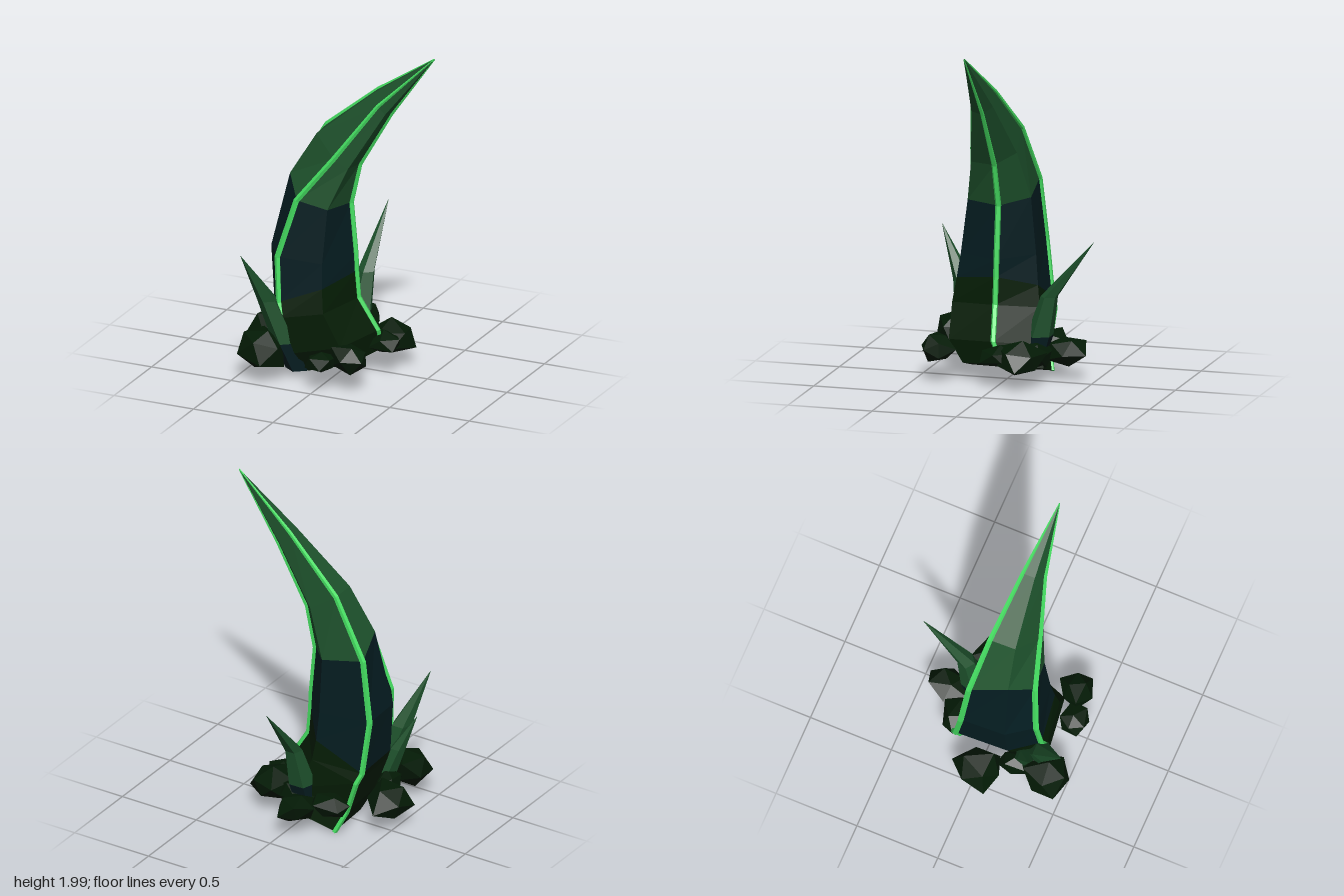
import * as THREE from 'three';

const mat = (name, color) => {
  const m = new THREE.MeshStandardMaterial({ color, flatShading: true });
  m.name = name;
  return m;
};

// Skin a stack of rings (arrays of Vector3), optionally closing the bottom
function loft(rings, cap) {
  const pos = [];
  const tri = (...v) => v.forEach((p) => pos.push(p.x, p.y, p.z));
  const n = rings[0].length;
  for (let i = 0; i < rings.length - 1; i++) {
    for (let j = 0; j < n; j++) {
      const k = (j + 1) % n;
      const [a, b, c, d] = [rings[i][j], rings[i][k], rings[i + 1][k], rings[i + 1][j]];
      tri(a, d, b);
      tri(b, d, c);
    }
  }
  if (cap) for (let j = 1; j < n - 1; j++) tri(rings[0][0], rings[0][j], rings[0][j + 1]);
  const g = new THREE.BufferGeometry();
  g.setAttribute('position', new THREE.Float32BufferAttribute(pos, 3));
  g.computeVertexNormals();
  return g;
}

// Five-sided ring around p, square to the direction (tx, ty) in the xy plane
function ringAt(p, r, tx, ty) {
  const l = Math.hypot(tx, ty);
  return [0, 1, 2, 3, 4].map((k) => {
    const a = (k / 5) * Math.PI * 2 + 0.3;
    const c = (r * Math.cos(a)) / l;
    return new THREE.Vector3(p.x + c * ty, p.y - c * tx, p.z + r * Math.sin(a));
  });
}

export function createModel() {
  const root = new THREE.Group();
  root.name = 'thornCluster';
  const rock = mat('rock green', 0x031a05);
  const earth = mat('base green', 0x041c04);
  const navy = mat('deep teal', 0x041c20);
  const green = mat('thorn green', 0x1d502b);
  const glow = mat('vein green', 0x44dc60);

  const add = (name, geo, material, parent = root) => {
    const m = new THREE.Mesh(geo, material);
    m.name = name;
    parent.add(m);
  };

  // Main thorn: irregular six-sided section swept along a bend.
  // The third value is how far a corner follows the lean of each station.
  const section = [[1, -0.2, 0], [0.6, 0.85, 0.4], [-0.5, 0.95, 1], [-0.95, 0.3, 0], [-1, -0.85, 0], [0.3, -1, 0]];
  // centre x, y, z, half width x, its rise in y, half depth z, lean
  const stations = [
    [-0.02, 0.07, 0.02, 0.22, 0.06, 0.25, 0],
    [-0.05, 0.2, 0.08, 0.25, 0.06, 0.28, 0],
    [-0.14, 0.4, 0.1, 0.23, 0.05, 0.27, 0],
    [-0.16, 0.51, 0.095, 0.235, 0.1, 0.25, 0],
    [-0.175, 0.72, 0.09, 0.245, -0.01, 0.23, 0],
    [-0.16, 1.06, 0.08, 0.2, -0.04, 0.19, 0.3],
    [-0.025, 1.355, 0.075, 0.125, -0.085, 0.135, 0.75],
    [0.25, 1.67, 0.07, 0.052, -0.06, 0.065, 0.5],
    [0.583, 1.995, 0.08, 0.001, -0.001, 0.001, 0],
  ];
  const rings = stations.map(([x, y, z, hx, hy, hz, lean]) =>
    section.map(([u, w, f]) =>
      new THREE.Vector3(x + (u + f * lean) * hx, y + (u + f * lean) * hy, z + w * hz)));
  // Uneven corners: raised colour edge at the left, wider foot at the back
  rings[5][3].add(new THREE.Vector3(0.05, 0.08, 0));
  rings[2][4].z -= 0.04;
  rings[3][4].z -= 0.03;
  const thorn = new THREE.Group();
  thorn.name = 'mainThorn';
  root.add(thorn);
  add('thornBase', loft(rings.slice(0, 4), true), earth, thorn);
  add('thornMiddle', loft(rings.slice(3, 6)), navy, thorn);
  add('thornTip', loft(rings.slice(5)), green, thorn);

  // Glowing veins along three of the ridges: corner, first ring, name
  const radii = [0.016, 0.016, 0.017, 0.017, 0.018, 0.018, 0.016, 0.012, 0.003];
  [[0, 0, 'rightVein'], [2, 2, 'frontVein'], [4, 0, 'backVein']].forEach(([j, first, name]) => {
    const pts = rings.map((r) => r[j]);
    const strip = pts.map((p, i) => {
      const a = pts[Math.max(i - 1, 0)];
      const b = pts[Math.min(i + 1, pts.length - 1)];
      return ringAt(p, radii[i], b.x - a.x, b.y - a.y);
    });
    add(name, loft(strip.slice(first), true), glow, thorn);
  });

  // Small spikes: base, bend, tip as [x, y, z, radius]
  const spikes = [
    ['frontSpike', [-0.19, 0.05, 0.265, 0.07], [-0.335, 0.48, 0.365, 0.06], [-0.43, 0.78, 0.52, 0.001]],
    ['backSpike', [-0.03, 0.11, -0.15, 0.07], [0.0, 0.5, -0.25, 0.052], [0.01, 0.84, -0.52, 0.001]],
    ['sideSpike', [-0.26, 0.1, 0.22, 0.055], [-0.37, 0.38, 0.27, 0.045], [-0.46, 0.58, 0.33, 0.001]],
  ];
  spikes.forEach(([name, base, bend, tip]) => {
    const mix = base.map((v, i) => v + (bend[i] - v) * 0.4);
    mix[3] = base[3] * 1.15;
    const r = [base, mix, bend, tip].map(([x, y, z, rad]) => ringAt({ x, y, z }, rad, 0, 1));
    const group = new THREE.Group();
    group.name = name;
    root.add(group);
    add(name + 'Root', loft(r.slice(0, 2), true), navy, group);
    add(name + 'Blade', loft(r.slice(1)), green, group);
  });

  // Faceted rocks fitted into boxes: x0, x1, y0, y1, z0, z1
  const rocks = [
    [-0.59, -0.34, 0.08, 0.28, -0.14, 0.15],
    [-0.47, -0.22, 0.07, 0.3, 0.27, 0.52],
    [-0.06, 0.11, 0.11, 0.23, 0.33, 0.49],
    [0.08, 0.28, 0.12, 0.28, 0.24, 0.46],
    [0.09, 0.36, 0.08, 0.28, -0.28, 0.01],
    [-0.18, 0.04, 0.09, 0.25, -0.46, -0.2],
    [-0.34, -0.1, 0.1, 0.26, -0.31, -0.12],
    [-0.08, 0.17, 0.08, 0.24, -0.27, -0.06],
    [-0.42, -0.26, 0.1, 0.26, 0.1, 0.3],
    [0.1, 0.32, 0.12, 0.25, -0.1, 0.08],
  ];
  rocks.forEach(([x0, x1, y0, y1, z0, z1], i) => {
    const g = new THREE.IcosahedronGeometry(1, 0);
    const p = g.attributes.position;
    const v = new THREE.Vector3();
    for (let k = 0; k < p.count; k++) {
      v.fromBufferAttribute(p, k);
      v.multiplyScalar(1 + 0.18 * Math.sin(v.x * 5 + v.y * 7 + v.z * 9 + i * 2.3));
      p.setXYZ(k, v.x, v.y, v.z);
    }
    g.rotateX(i * 0.9 + 0.4);
    g.rotateY(i * 1.7);
    g.center();
    g.boundingBox.getSize(v);
    g.scale((x1 - x0) / v.x, (y1 - y0) / v.y, (z1 - z0) / v.z);
    g.translate((x0 + x1) / 2, (y0 + y1) / 2, (z0 + z1) / 2);
    g.computeVertexNormals();
    add('rock' + (i + 1), g, rock);
  });

  return root;
}
